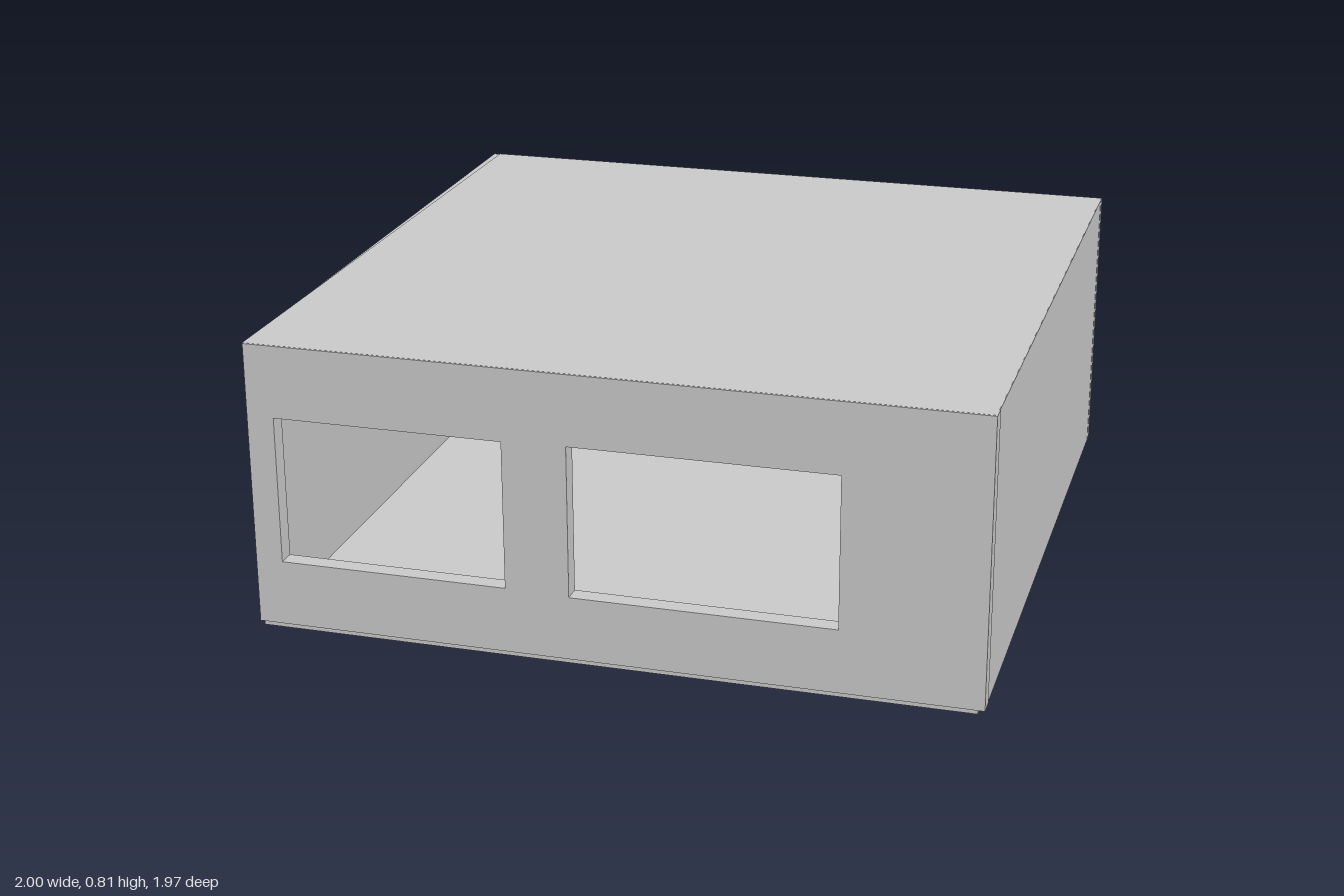
import * as THREE from 'three';

const material = new THREE.MeshStandardMaterial({ color: 0xcccccc, flatShading: true });
const BOTTOM = 0.018, TOP = 0.81;

function rectangle(Type, x0, y0, x1, y1) {
  return new Type([[x0, y0], [x1, y0], [x1, y1], [x0, y1]].map(([x, y]) => new THREE.Vector2(x, y)));
}

function add(group, name, geometry, x = 0, y = 0, z = 0) {
  const mesh = new THREE.Mesh(geometry, material);
  mesh.name = name;
  mesh.position.set(x, y, z);
  group.add(mesh);
  return mesh;
}

export function createModel() {
  const room = new THREE.Group();
  room.name = 'room';

  // Front wall with two window openings
  const front = rectangle(THREE.Shape, -0.975, BOTTOM, 1, TOP);
  front.holes.push(
    rectangle(THREE.Path, -0.9, 0.2, -0.27, 0.61),
    rectangle(THREE.Path, -0.095, 0.195, 0.62, 0.615),
  );
  add(room, 'frontWall', new THREE.ExtrudeGeometry(front, { depth: 0.05, bevelEnabled: false }), 0, 0, 0.935);

  // Back wall with a doorway notched up from its lower edge
  const back = new THREE.Shape();
  [[-0.975, BOTTOM], [0.62, BOTTOM], [0.62, 0.54], [0.97, 0.54], [0.97, BOTTOM], [1, BOTTOM], [1, TOP], [-0.975, TOP]]
    .forEach(([x, y], i) => (i ? back.lineTo(x, y) : back.moveTo(x, y)));
  add(room, 'backWall', new THREE.ExtrudeGeometry(back, { depth: 0.03, bevelEnabled: false }), 0, 0, -0.98);

  // Side walls; the right-hand one in plan is square, the other slightly skewed
  const height = TOP - BOTTOM;
  const middle = (TOP + BOTTOM) / 2;
  add(room, 'leftWall', new THREE.BoxGeometry(0.028, height, 1.95), 0.985, middle, 0);
  const skewed = add(room, 'rightWall', new THREE.BoxGeometry(0.025, height, 1.965), -0.975, middle - 0.002, -0.002);
  skewed.rotation.y = 0.011;

  // Floor slab, slightly inset beneath the walls
  add(room, 'floor', new THREE.BoxGeometry(1.95, 0.025, 1.94), 0.005, 0.0125, 0);

  // Flat roof, flush with the wall tops
  add(room, 'roof', new THREE.BoxGeometry(1.975, 0.025, 1.96), 0.01, TOP - 0.012, 0);

  return room;
}
